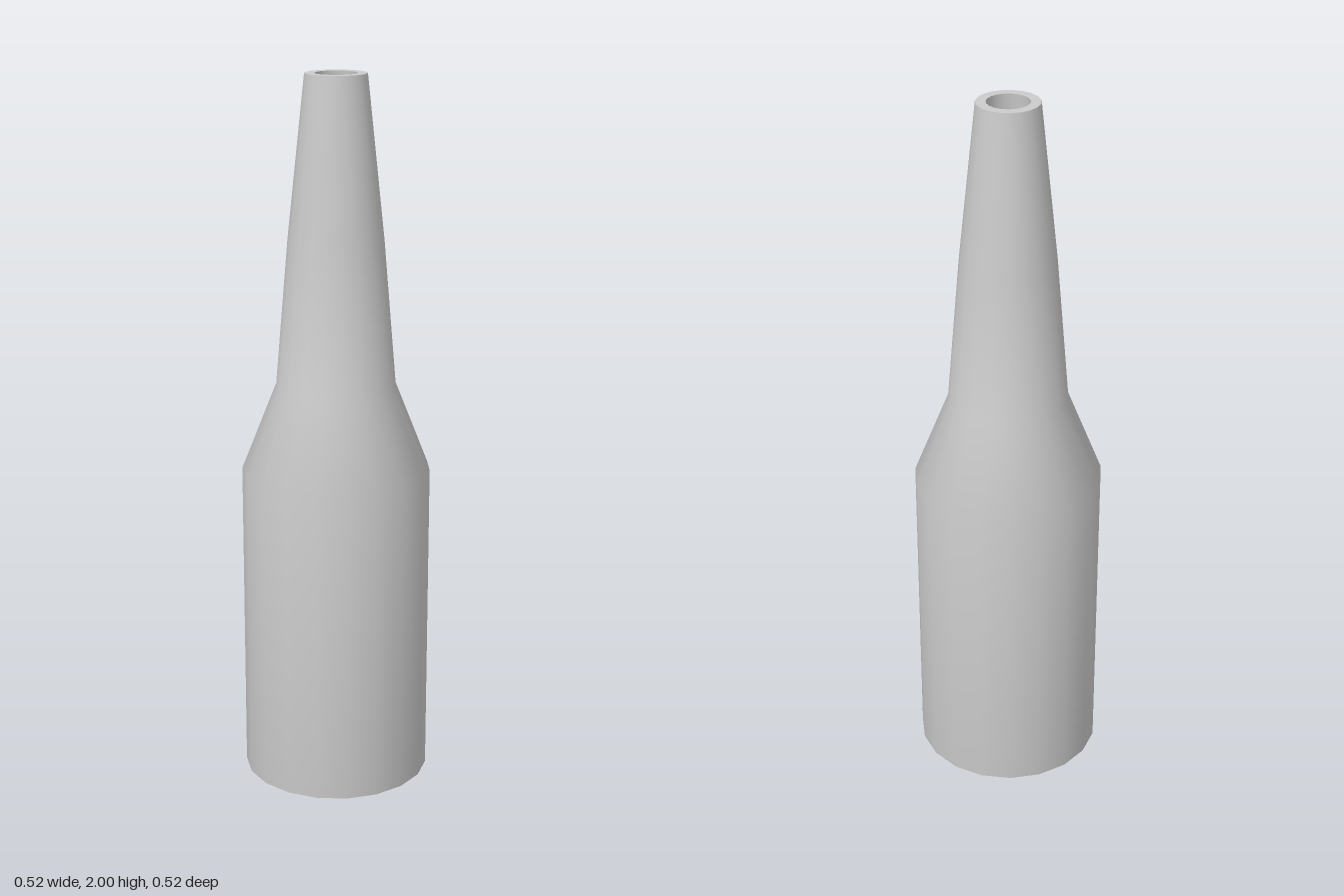
import * as THREE from 'three';

const SIDES = 19;

export function createModel() {
  const bottle = new THREE.Group();
  bottle.name = 'bottle';
  const material = new THREE.MeshStandardMaterial({ color: 0xcccccc });

  // Revolve a [radius, height] profile, with one corner pointing along +x
  const addLathe = (name, profile) => {
    const points = profile.map(([r, y]) => new THREE.Vector2(r, y));
    const geometry = new THREE.LatheGeometry(points, SIDES, Math.PI / 2);
    const mesh = new THREE.Mesh(geometry, material);
    mesh.name = name;
    mesh.position.x = -0.002; // the odd side count is centred by its extents
    bottle.add(mesh);
  };

  // Base, body, shoulder and tapering neck
  addLathe('outerBody', [
    [0, 0], [0.2, 0], [0.262, 0.02], [0.262, 0.915],
    [0.165, 1.16], [0.131, 1.56], [0.084, 2],
  ]);

  // Flat lip around the mouth
  addLathe('rim', [[0.084, 2], [0.057, 2]]);

  // Hollow inside, following the outer shape
  addLathe('innerWall', [
    [0.057, 2], [0.104, 1.56], [0.138, 1.16], [0.235, 0.9], [0.235, 0.04],
  ]);
  addLathe('innerFloor', [[0.235, 0.04], [0, 0.04]]);

  return bottle;
}
